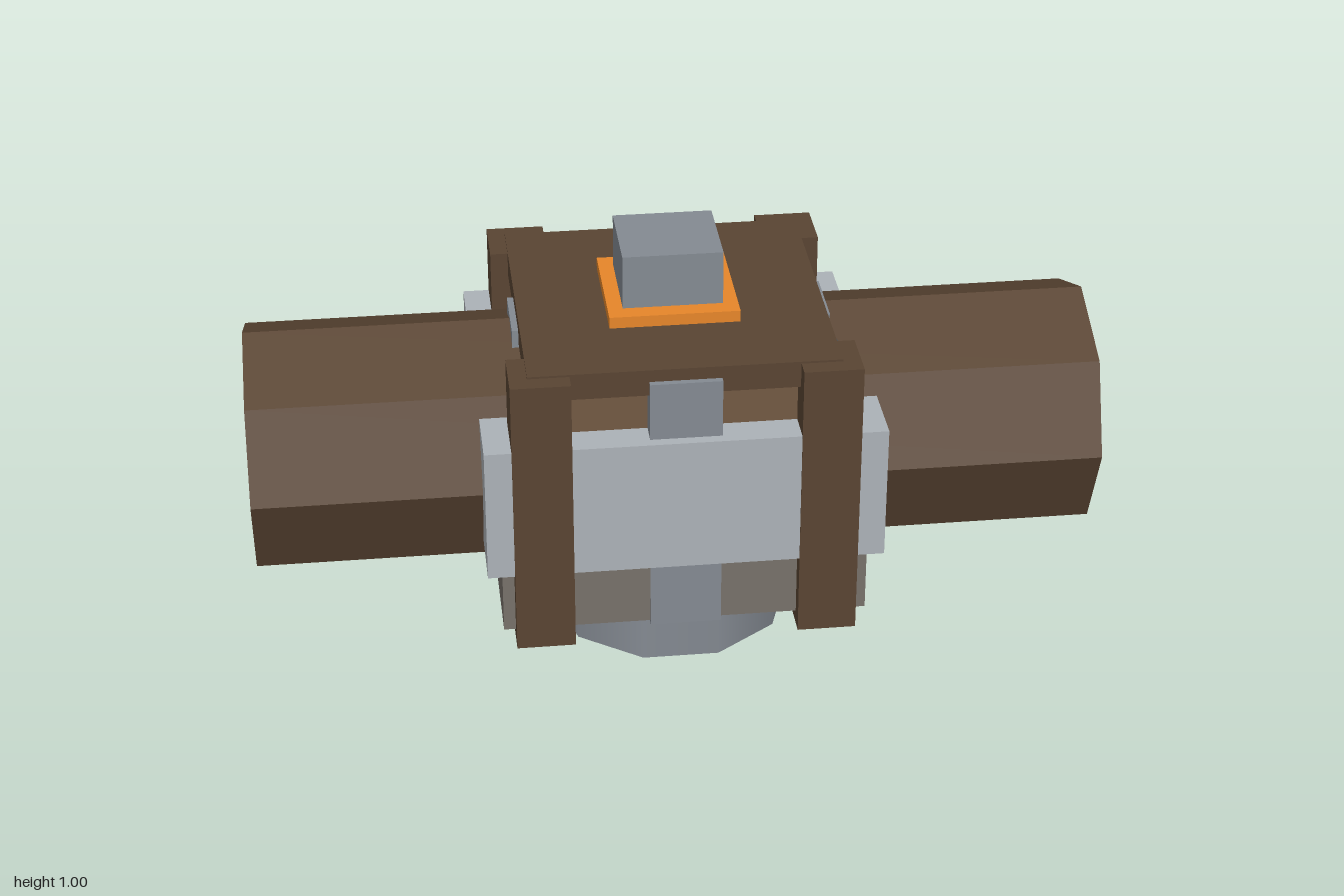
import * as THREE from 'three';

const mat = (color, flatShading = true) => {
  const m = new THREE.MeshStandardMaterial({ color: 0xcccccc, flatShading });
  m.color.set(color);
  return m;
};

export function createModel() {
  const group = new THREE.Group();
  const bark = mat(0x5a4533), innerWood = mat(0x735a43), cutWood = mat(0x8a7b45);
  const steel = mat(0x858b93), paleSteel = mat(0xadb3b8), stone = mat(0x78726b);
  const darkSteel = mat(0x4e4d4b), orange = mat(0xe8872a);

  const add = (name, geometry, material, x, y, z) => {
    const mesh = new THREE.Mesh(geometry, material);
    mesh.name = name;
    mesh.position.set(x, y, z);
    group.add(mesh);
    return mesh;
  };
  // Box centred on (x, z), spanning y0 to y1
  const box = (name, material, w, d, y0, y1, x = 0, z = 0) =>
    add(name, new THREE.BoxGeometry(w, y1 - y0, d), material, x, (y0 + y1) / 2, z);

  // Octagonal log running through the housing
  const log = add('log', new THREE.CylinderGeometry(0.3, 0.3, 2, 8), [bark, cutWood, cutWood], 0, 0.5, 0);
  log.rotation.z = Math.PI / 2;

  // Round foot
  const foot = add('foot', new THREE.CylinderGeometry(0.296, 0.296, 0.17, 10), mat(0x858b93, false), 0, 0.085, 0);
  foot.rotation.y = Math.PI / 2;

  // Housing: base, inner core and roof
  box('base', stone, 0.86, 0.734, 0.167, 0.335);
  box('core', innerWood, 0.64, 0.64, 0.33, 0.78);
  box('roof', bark, 0.72, 0.72, 0.775, 0.84);

  // Corner posts
  for (const sx of [-1, 1]) {
    for (const sz of [-1, 1]) {
      box('cornerPost', bark, 0.138, 0.138, 0.135, 0.835, sx * 0.333, sz * 0.333);
    }
  }

  // Side planks, and metal straps in the middle of each side
  for (const s of [-1, 1]) {
    box('sidePlank', paleSteel, 0.93, 0.165, 0.335, 0.667, 0, s * 0.3175);
    box('strap', steel, 0.167, 0.13, 0.16, 0.81, 0, s * 0.31);
    box('strap', steel, 0.13, 0.167, 0.16, 0.81, s * 0.31, 0);
  }

  // Small turned block beside the log
  const block = box('darkBlock', darkSteel, 0.1, 0.09, 0.6, 0.8, 0.32, 0.18);
  block.rotation.y = 0.24;

  // Collar and cap on the roof
  box('collar', orange, 0.306, 0.306, 0.83, 0.868);
  box('cap', steel, 0.235, 0.22, 0.86, 1);

  return group;
}
